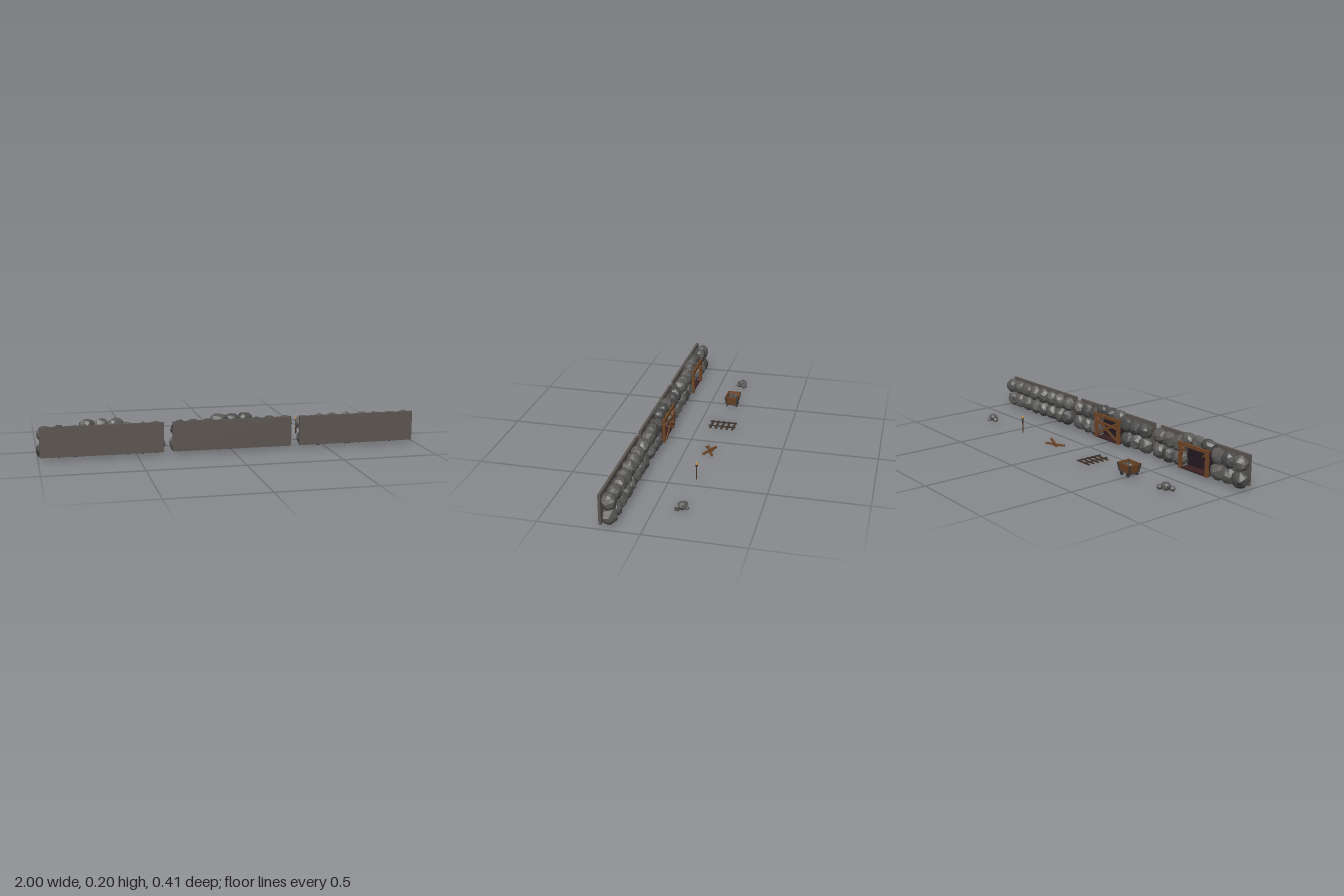
import * as THREE from 'three';
import { mergeVertices } from 'three/addons/utils/BufferGeometryUtils.js';

const mat = (name, color, extra = {}) =>
  Object.assign(new THREE.MeshStandardMaterial({ color, flatShading: true, ...extra }), { name });

export function createModel() {
  const M = {
    board: mat('backing stone', 0x5c5550),
    rock: mat('grey rock', 0x595856),
    rockDark: mat('dark rock', 0x4a4a49),
    wood: mat('timber', 0x6e4526, { side: THREE.DoubleSide }),
    darkWood: mat('dark timber', 0x4a3322),
    metal: mat('iron', 0x38383a),
    shaft: mat('shaft darkness', 0x251a24),
    floor: mat('shaft floor', 0x3a2020),
    flame: mat('flame', 0xe08a20),
    core: mat('flame tip', 0xf2b840),
  };
  let seed = 7;
  const rnd = () => (seed = (seed * 16807) % 2147483647) / 2147483647;
  const root = new THREE.Group();
  root.name = 'mineKit';

  const group = (name, x, z) => {
    const g = new THREE.Group();
    g.name = name;
    g.position.set(x, 0, z);
    root.add(g);
    return g;
  };
  const add = (parent, name, geo, m, x = 0, y = 0, z = 0) => {
    const mesh = new THREE.Mesh(geo, m);
    mesh.name = name;
    mesh.position.set(x, y, z);
    parent.add(mesh);
    return mesh;
  };
  const box = (p, name, m, w, h, d, x, y, z) => add(p, name, new THREE.BoxGeometry(w, h, d), m, x, y, z);

  // Irregular faceted boulder
  const rock = (p, name, x, y, z, rx, ry, rz, detail = 1, m = rnd() < 0.65 ? M.rock : M.rockDark) => {
    let g = new THREE.IcosahedronGeometry(1, detail);
    g.deleteAttribute('normal');
    g.deleteAttribute('uv');
    g = mergeVertices(g, 1e-3);
    g.rotateY(rnd() * 6).rotateX(rnd() * 6);
    const a = g.attributes.position;
    for (let i = 0; i < a.count; i++) {
      const s = 0.88 + rnd() * 0.22;
      a.setXYZ(i, a.getX(i) * s * rx, a.getY(i) * s * ry, a.getZ(i) * s * rz);
    }
    g.computeVertexNormals();
    return add(p, name, g, m, x, y, z);
  };

  // Wall section: backing slab with two courses of boulders
  const wall = (name, cx, columns) => {
    const g = group(name, cx, 0);
    box(g, 'backingSlab', M.board, 0.628, 0.156, 0.013, 0, 0.09, 0.197);
    for (const x of columns)
      for (const y of [0.045, 0.125])
        rock(g, 'wallRock', x + (rnd() - 0.5) * 0.012, y, 0.16, 0.045, 0.044, 0.038);
    return g;
  };

  // Timbered opening with dark shaft and rocks over the lintel
  const entrance = (g) => {
    box(g, 'shaftBack', M.shaft, 0.2, 0.125, 0.008, 0, 0.075, 0.186);
    box(g, 'shaftFloor', M.floor, 0.18, 0.004, 0.06, 0, 0.013, 0.158);
    box(g, 'shaftUnderside', M.shaft, 0.18, 0.003, 0.06, 0, 0.0095, 0.158);
    for (const s of [-1, 1]) {
      box(g, 'doorPost', M.wood, 0.016, 0.125, 0.016, s * 0.094, 0.073, 0.127);
      const brace = box(g, 'cornerBrace', M.wood, 0.008, 0.036, 0.01, s * 0.079, 0.119, 0.127);
      brace.rotation.z = -s * 0.8;
    }
    box(g, 'lintel', M.wood, 0.215, 0.017, 0.018, 0, 0.14, 0.127);
    for (const x of [-0.07, 0, 0.07])
      rock(g, 'lintelRock', x, 0.16, 0.158, 0.044, 0.033, 0.034);
  };

  const sides = [-0.28, -0.208, -0.135, 0.135, 0.208, 0.28];
  entrance(wall('openMineWall', -0.678, sides));
  const boarded = wall('boardedMineWall', -0.003, sides);
  entrance(boarded);
  // Planks nailed over the closed entrance
  [[0.45, 0.075, 0.2], [-0.5, 0.075, 0.2], [0.06, 0.105, 0.19]].forEach(([a, y, w], i) => {
    box(boarded, 'barrierPlank', M.wood, w, 0.013, 0.005, 0, y, 0.118 - i * 0.002).rotation.z = a;
  });
  wall('solidWall', 0.67, Array.from({ length: 8 }, (_, i) => -0.28 + i * 0.08));

  // Loose rubble piles
  const pile = (name, x, stones) => {
    const g = group(name, x, -0.132);
    for (const [sx, sz, r, h] of stones) rock(g, 'rubble', sx, h * 0.9, sz, r, h, r, r > 0.02 ? 1 : 0);
  };
  pile('rubblePileLarge', -0.765, [[0, -0.003, 0.027, 0.023], [0.025, -0.02, 0.019, 0.017], [-0.027, 0.012, 0.018, 0.014], [0.008, 0.018, 0.014, 0.012]]);
  pile('rubblePileSmall', 0.735, [[0.004, 0, 0.024, 0.022], [-0.027, -0.004, 0.017, 0.015], [0.006, -0.025, 0.011, 0.01], [0.027, 0.021, 0.014, 0.012]]);

  // Ore cart: tapered tub, iron corners, wheels and load
  const cart = group('oreCart', -0.49, -0.131);
  const tub = new THREE.CylinderGeometry(0.045 * Math.SQRT2, 0.036 * Math.SQRT2, 0.046, 4, 1, true);
  tub.rotateY(Math.PI / 4).scale(1, 1, 0.78);
  add(cart, 'tubSides', tub, M.wood, 0, 0.042, 0);
  box(cart, 'tubFloor', M.darkWood, 0.072, 0.005, 0.056, 0, 0.021, 0);
  for (const sx of [-1, 1]) {
    box(cart, 'rimEnd', M.wood, 0.005, 0.005, 0.072, sx * 0.044, 0.063, 0);
    box(cart, 'rimSide', M.wood, 0.09, 0.005, 0.005, 0, 0.063, sx * 0.034);
    box(cart, 'axle', M.metal, 0.005, 0.005, 0.056, sx * 0.024, 0.012, 0);
    for (const sz of [-1, 1]) {
      const corner = box(cart, 'cornerIron', M.metal, 0.007, 0.047, 0.007, sx * 0.041, 0.0425, sz * 0.032);
      corner.rotation.set(sz * 0.15, 0, -sx * 0.19);
      const wheel = new THREE.CylinderGeometry(0.012, 0.012, 0.006, 10).rotateX(Math.PI / 2);
      add(cart, 'wheel', wheel, M.metal, sx * 0.024, 0.012, sz * 0.027);
    }
  }
  for (const [x, z] of [[-0.022, -0.01], [0.003, 0.01], [0.024, -0.008], [-0.02, 0.014], [0.022, 0.015]])
    rock(cart, 'oreLump', x, 0.046, z, 0.017, 0.014, 0.015, 0, M.rockDark);

  // Track piece
  const track = group('trackPiece', -0.202, -0.132);
  for (let i = -2; i <= 2; i++)
    box(track, 'sleeper', M.darkWood, 0.096, 0.005, 0.011, 0, 0.0025, i * 0.031);
  for (const s of [-1, 1])
    box(track, 'rail', M.metal, 0.006, 0.006, 0.15, s * 0.026, 0.008, 0);

  // Fallen planks
  const planks = group('plankPile', 0.132, -0.131);
  [[0.115, 0.4, -0.006, 0.006, 0], [0.12, -0.4, 0.004, 0.013, 0.06], [0.06, 0.75, -0.03, 0.005, 0]].forEach(([w, ry, x, y, rz], i) => {
    const p = box(planks, 'fallenPlank', M.wood, w, 0.008, 0.012, x, y, i === 2 ? 0.008 : 0);
    p.rotation.set(0, ry, rz);
  });

  // Standing torch
  const torch = group('torch', 0.435, -0.13);
  add(torch, 'shaft', new THREE.CylinderGeometry(0.0035, 0.003, 0.074, 6), M.darkWood, 0, 0.037, 0);
  add(torch, 'cup', new THREE.CylinderGeometry(0.007, 0.004, 0.012, 6), M.metal, 0, 0.075, 0);
  add(torch, 'flame', new THREE.SphereGeometry(0.006, 6, 4).scale(1, 1.4, 1), M.flame, 0, 0.085, 0);
  add(torch, 'flameTip', new THREE.ConeGeometry(0.0045, 0.014, 6), M.core, 0, 0.0925, 0);

  return root;
}
